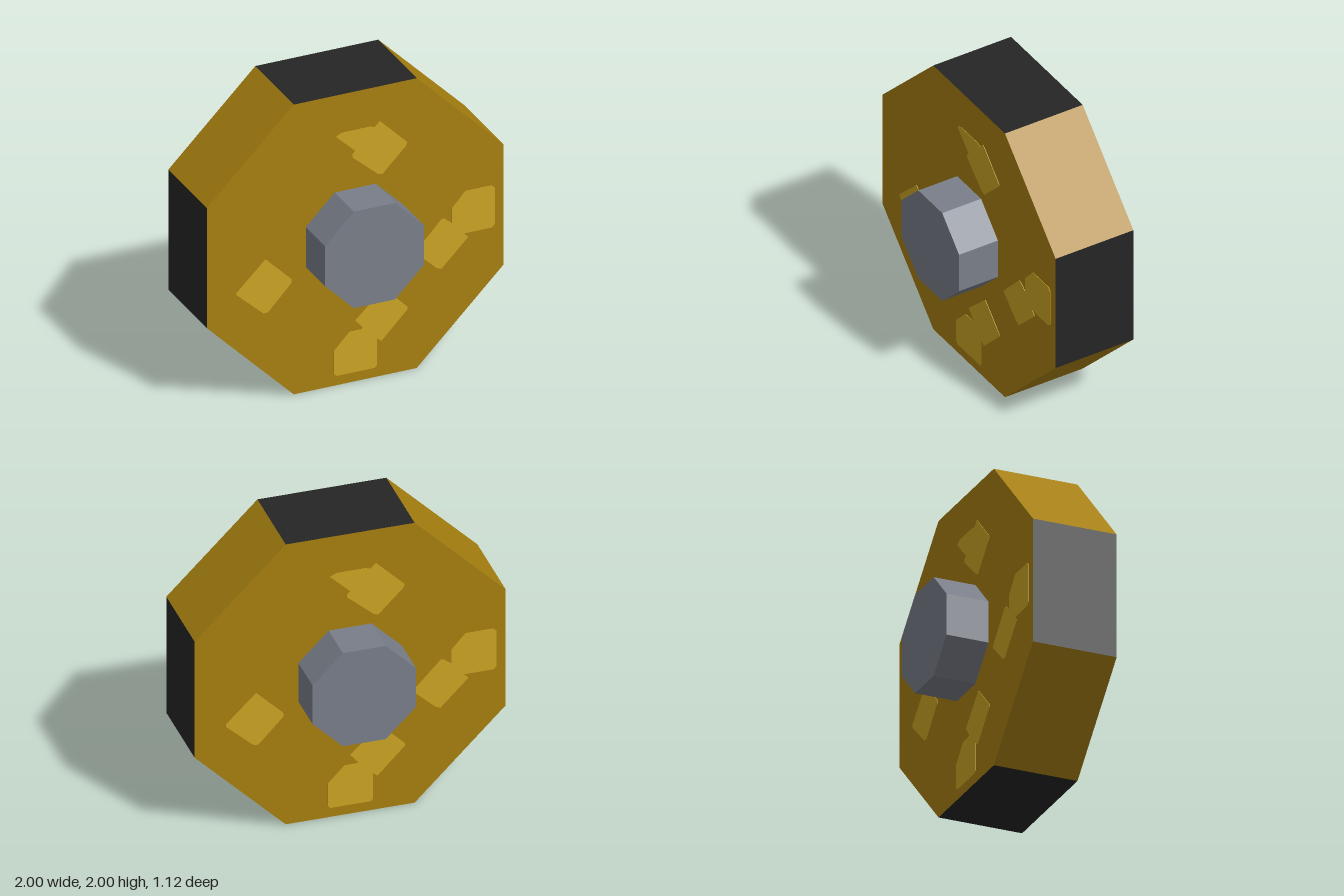
import * as THREE from 'three';

const HALF = 0.28; // half thickness of the tread block

// Octagonal prism along z with flat facets; apothem is centre to flat side
function octPrism(apothem, depth) {
  const r = apothem / Math.cos(Math.PI / 8);
  const indexed = new THREE.CylinderGeometry(r, r, depth, 8, 1, false, Math.PI / 8);
  indexed.rotateX(Math.PI / 2);
  const g = indexed.toNonIndexed();
  g.computeVertexNormals();
  g.clearGroups();
  return g;
}

// Outlines of the worn patches on one face
const patches = {
  upperPatch: [[-0.13, 1.715], [-0.09, 1.735], [0.1, 1.735], [0.13, 1.725], [0.165, 1.76], [0.35, 1.575],
    [0.34, 1.55], [0.18, 1.39], [0.15, 1.4], [-0.02, 1.55], [-0.02, 1.57], [0, 1.59]],
  sidePatch: [[0.4, 0.8], [0.58, 0.99], [0.6, 0.99], [0.65, 0.95], [0.65, 1.05], [0.74, 1.15], [0.92, 1.15],
    [0.94, 1.13], [0.94, 0.88], [0.92, 0.86], [0.74, 0.86], [0.73, 0.86], [0.76, 0.83], [0.58, 0.65], [0.55, 0.66]],
  lowerPatch: [[0, 0.42], [0.19, 0.6], [0.35, 0.44], [0.35, 0.42], [0.175, 0.24], [0.145, 0.265], [0.145, 0.08],
    [0.13, 0.065], [-0.13, 0.065], [-0.145, 0.085], [-0.145, 0.24], [-0.04, 0.35], [0.04, 0.35], [0.05, 0.36]],
  diamondPatch: [[-0.8, 0.785], [-0.605, 0.975], [-0.43, 0.8], [-0.43, 0.775], [-0.59, 0.605], [-0.62, 0.605], [-0.8, 0.77]],
};

export function createModel() {
  const material = (name, color) => {
    const m = new THREE.MeshStandardMaterial({ color });
    m.name = name;
    return m;
  };
  const gold = material('darkGold', 0xa67f0f);
  const lightGold = material('lightGold', 0xcba423);
  const steel = material('steelGrey', 0x797e89);
  const black = material('black', 0x252525);

  const model = new THREE.Group();
  model.name = 'octagonalWheel';

  // Main block: alternate rim facets are black
  const body = octPrism(1, HALF * 2);
  for (let i = 0; i < 8; i++) body.addGroup(i * 6, 6, i % 2);
  body.addGroup(48, body.attributes.position.count - 48, 0);
  const wheel = new THREE.Mesh(body, [gold, black]);
  wheel.name = 'wheelBlock';
  wheel.position.y = 1;
  model.add(wheel);

  // Hub sticking out of both faces
  const hub = new THREE.Mesh(octPrism(0.333, 1.12), steel);
  hub.name = 'hub';
  hub.position.y = 1;
  model.add(hub);

  // Same patches on front and back, turned half round
  for (const [name, turn] of [['frontPatches', 0], ['backPatches', Math.PI]]) {
    const face = new THREE.Group();
    face.name = name;
    face.rotation.y = turn;
    for (const [label, points] of Object.entries(patches)) {
      const shape = new THREE.Shape(points.map(([x, y]) => new THREE.Vector2(x, y)));
      const plate = new THREE.Mesh(new THREE.ExtrudeGeometry(shape, { depth: 0.005, bevelEnabled: false }), lightGold);
      plate.name = label;
      plate.position.z = HALF - 0.002;
      face.add(plate);
    }
    model.add(face);
  }
  return model;
}
